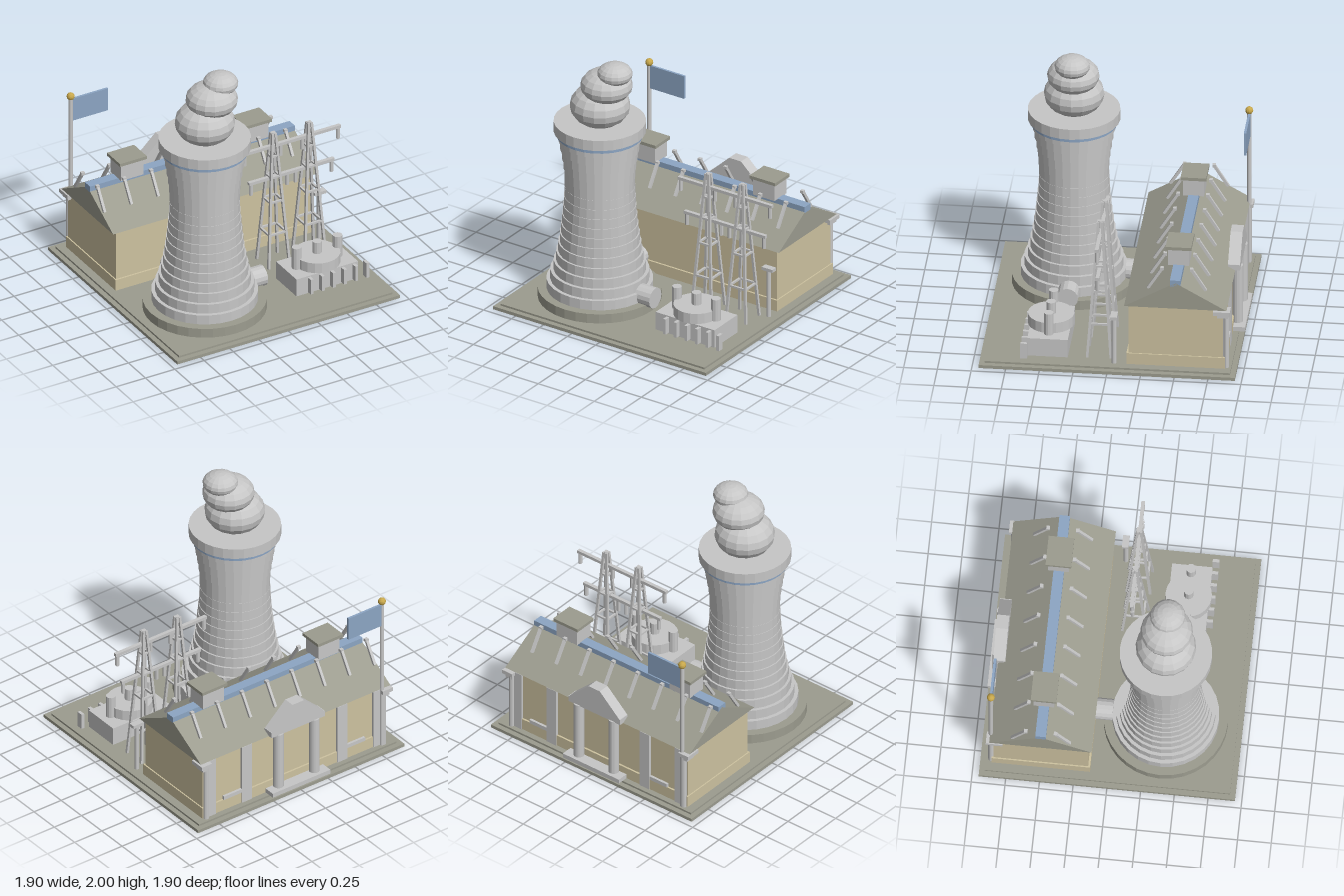
import * as THREE from 'three';

const mat = (name, color) => {
  const m = new THREE.MeshStandardMaterial({ color, flatShading: true });
  m.name = name;
  return m;
};

export function createModel() {
  const root = new THREE.Group();
  root.name = 'powerStation';
  const concrete = mat('concrete', 0xc6c6c6);
  const stone = mat('stone', 0x9c9c8f);
  const tan = mat('tanWall', 0xcdc2a0);
  const blue = mat('blueTrim', 0x8ca5c3);
  const gold = mat('gold', 0xc8a84c);

  const add = (name, geo, m, x = 0, y = 0, z = 0, parent = root) => {
    const mesh = new THREE.Mesh(geo, m);
    mesh.name = name;
    mesh.position.set(x, y, z);
    parent.add(mesh);
    return mesh;
  };
  // Box given by its limits on each axis
  const box = (name, m, x0, x1, y0, y1, z0, z1, parent = root) =>
    add(name, new THREE.BoxGeometry(x1 - x0, y1 - y0, z1 - z0), m,
      (x0 + x1) / 2, (y0 + y1) / 2, (z0 + z1) / 2, parent);
  // Upright cylinder from y0 to y1
  const post = (name, m, r, x, z, y0, y1, parent = root, sides = 12) =>
    add(name, new THREE.CylinderGeometry(r, r, y1 - y0, sides), m, x, (y0 + y1) / 2, z, parent);
  // Square bar between two points
  const bar = (name, m, a, b, t, parent = root) => {
    const p = new THREE.Vector3(...a), q = new THREE.Vector3(...b);
    const mid = p.clone().add(q).multiplyScalar(0.5);
    const mesh = add(name, new THREE.BoxGeometry(t, p.distanceTo(q), t), m, mid.x, mid.y, mid.z, parent);
    mesh.quaternion.setFromUnitVectors(new THREE.Vector3(0, 1, 0), q.sub(p).normalize());
    return mesh;
  };
  const group = (name) => {
    const g = new THREE.Group();
    g.name = name;
    root.add(g);
    return g;
  };

  // Ground slab in two steps
  box('slab', stone, -0.95, 0.95, 0, 0.025, -0.95, 0.95);
  box('slabTop', stone, -0.91, 0.91, 0.025, 0.04, -0.91, 0.91);

  // Cooling tower: stepped rings following a waisted profile
  const tower = group('coolingTower');
  const tx = -0.385, tz = 0.38;
  post('towerFoot', stone, 0.46, tx, tz, 0.04, 0.115, tower, 32);
  const radii = [0.395, 0.367, 0.342, 0.323, 0.308, 0.296, 0.286, 0.278, 0.271,
    0.266, 0.262, 0.26, 0.263, 0.27, 0.281, 0.293, 0.307];
  const step = (1.41 - 0.115) / radii.length;
  const profile = [];
  radii.forEach((r, i) => {
    profile.push(new THREE.Vector2(r, 0.115 + i * step), new THREE.Vector2(r, 0.115 + (i + 1) * step));
  });
  add('towerShell', new THREE.LatheGeometry(profile, 28), concrete, tx, 0, tz, tower);
  post('towerBand', blue, 0.323, tx, tz, 1.378, 1.412, tower, 28);
  post('towerCollar', concrete, 0.342, tx, tz, 1.41, 1.493, tower, 28);

  // Pipe stubs at the foot
  const stub = new THREE.CylinderGeometry(0.08, 0.08, 0.13, 16);
  add('sidePipe', stub, concrete, 0.045, 0.157, tz, tower).rotation.z = Math.PI / 2;
  add('backPipe', stub, concrete, tx, 0.157, -0.075, tower).rotation.x = Math.PI / 2;

  // Steam puffs
  [[-0.383, 1.62, 0.225, 0.165], [-0.325, 1.8, 0.195, 0.128], [-0.25, 1.917, 0.132, 0.083]]
    .forEach(([x, y, r, ry]) => {
      add('steamPuff', new THREE.SphereGeometry(r, 16, 10), concrete, x, y, tz, tower).scale.y = ry / r;
    });

  // Turbine hall
  const hall = group('turbineHall');
  box('walls', tan, -0.835, 0.835, 0.04, 0.545, -0.85, -0.15, hall);
  box('wallFoot', tan, -0.845, 0.845, 0.04, 0.13, -0.865, -0.135, hall);
  const gable = new THREE.Shape([
    new THREE.Vector2(-0.38, 0.54), new THREE.Vector2(0.38, 0.54), new THREE.Vector2(0, 0.755)]);
  const roofGeo = new THREE.ExtrudeGeometry(gable, { depth: 1.746, bevelEnabled: false });
  roofGeo.rotateY(Math.PI / 2);
  add('roof', roofGeo, stone, -0.875, 0, -0.5, hall);
  box('ridgeSkylight', blue, -0.875, 0.871, 0.725, 0.775, -0.538, -0.46, hall);

  // Roof ventilators
  for (const x of [-0.537, 0.53]) {
    box('ventBody', concrete, x - 0.097, x + 0.097, 0.77, 0.908, -0.577, -0.423, hall);
    box('ventCap', stone, x - 0.115, x + 0.115, 0.905, 0.93, -0.595, -0.405, hall);
  }
  // Leaning roof stays on both slopes
  for (let i = 0; i < 8; i++) {
    const x = -0.853 + i * 0.229;
    for (const s of [-1, 1]) {
      bar('roofStay', concrete, [x, 0.638, -0.5 + s * 0.215], [x, 0.81, -0.5 + s * 0.108], 0.021, hall);
      box('stayHead', concrete, x - 0.014, x + 0.014, 0.795, 0.817, -0.5 + s * 0.11 - 0.013, -0.5 + s * 0.11 + 0.013, hall);
    }
  }

  // Back wall: pilasters, vents and corner posts
  for (const s of [-1, 1]) {
    for (const x of [0.44, 0.77])
      box('pilaster', concrete, s * x - 0.045, s * x + 0.045, 0.04, 0.53, -0.872, -0.84, hall);
    box('wallVent', concrete, s * 0.55 - 0.1, s * 0.55 + 0.1, 0.13, 0.16, -0.87, -0.845, hall);
    post('cornerPost', concrete, 0.021, s * 0.815, -0.872, 0.04, 0.5, hall);
    box('cornerNeck', concrete, s * 0.83 - 0.03, s * 0.83 + 0.03, 0.47, 0.5, -0.89, -0.81, hall);
    box('cornerCapital', concrete, s * 0.833 - 0.047, s * 0.833 + 0.047, 0.5, 0.53, -0.905, -0.78, hall);
  }

  // Portico
  const portico = group('portico');
  box('porticoStep', concrete, -0.265, 0.265, 0.04, 0.075, -0.955, -0.84, portico);
  for (const s of [-1, 1]) post('porticoColumn', concrete, 0.04, s * 0.165, -0.89, 0.075, 0.545, portico, 16);
  box('entablature', concrete, -0.245, 0.245, 0.54, 0.585, -0.915, -0.825, portico);
  const pediment = new THREE.Shape([
    new THREE.Vector2(-0.245, 0.58), new THREE.Vector2(0.245, 0.58),
    new THREE.Vector2(0.053, 0.76), new THREE.Vector2(-0.053, 0.76)]);
  add('pediment', new THREE.ExtrudeGeometry(pediment, { depth: 0.09, bevelEnabled: false }),
    concrete, 0, 0, -0.915, portico);

  // Flagpole
  const flag = group('flagpole');
  post('pole', concrete, 0.016, -0.8, -0.875, 0.04, 1.3, flag);
  add('poleBall', new THREE.SphereGeometry(0.03, 12, 8), gold, -0.8, 1.315, -0.875, flag);
  box('flag', blue, -0.79, -0.485, 1.105, 1.292, -0.885, -0.867, flag);

  // Lamp post beside the yard
  const lamp = group('lampPost');
  post('lampPole', concrete, 0.018, 0.835, -0.042, 0.04, 0.425, lamp);
  box('lampHead', concrete, 0.787, 0.883, 0.42, 0.445, -0.068, -0.018, lamp);

  // Lattice pylons
  for (const px of [0.375, 0.682]) {
    const pylon = group('pylon');
    pylon.position.set(px, 0, 0.075);
    const half = (y) => 0.088 - 0.076 * (y - 0.04) / 1.1;
    const corners = [[1, 1], [-1, 1], [-1, -1], [1, -1]];
    corners.forEach(([sx, sz], i) => {
      bar('pylonLeg', concrete, [sx * half(0.04), 0.04, sz * half(0.04)],
        [sx * half(1.14), 1.14, sz * half(1.14)], 0.019, pylon);
      const [nx, nz] = corners[(i + 1) % 4];
      for (const y of [0.31, 0.575, 0.78, 0.95]) {
        const h = half(y);
        bar('pylonRung', concrete, [sx * h, y, sz * h], [nx * h, y, nz * h], 0.015, pylon);
      }
    });
    post('pylonTip', concrete, 0.018, 0, 0, 1.09, 1.145, pylon, 8);
    // Cross arms with hanging insulators
    for (const [y, w] of [[1.03, 0.265], [0.763, 0.21]]) {
      box('crossArm', concrete, -w, w, y - 0.012, y + 0.012, -0.014, 0.014, pylon);
      for (const s of [-1, 1])
        post('insulator', concrete, 0.015, s * (w - 0.02), 0, y - 0.1, y - 0.01, pylon, 8);
    }
  }

  // Transformer
  const trafo = group('transformer');
  box('transformerTank', concrete, 0.267, 0.792, 0.04, 0.185, 0.305, 0.605, trafo);
  post('transformerDome', concrete, 0.172, 0.53, 0.455, 0.185, 0.268, trafo, 20);
  for (const x of [0.355, 0.53, 0.703]) post('bushing', concrete, 0.036, x, 0.455, 0.185, 0.362, trafo);
  for (let i = 0; i < 6; i++) {
    const x = 0.375 + i * 0.095;
    box('coolingFin', concrete, x - 0.012, x + 0.012, 0.05, 0.175, 0.6, 0.65, trafo);
  }
  return root;
}
